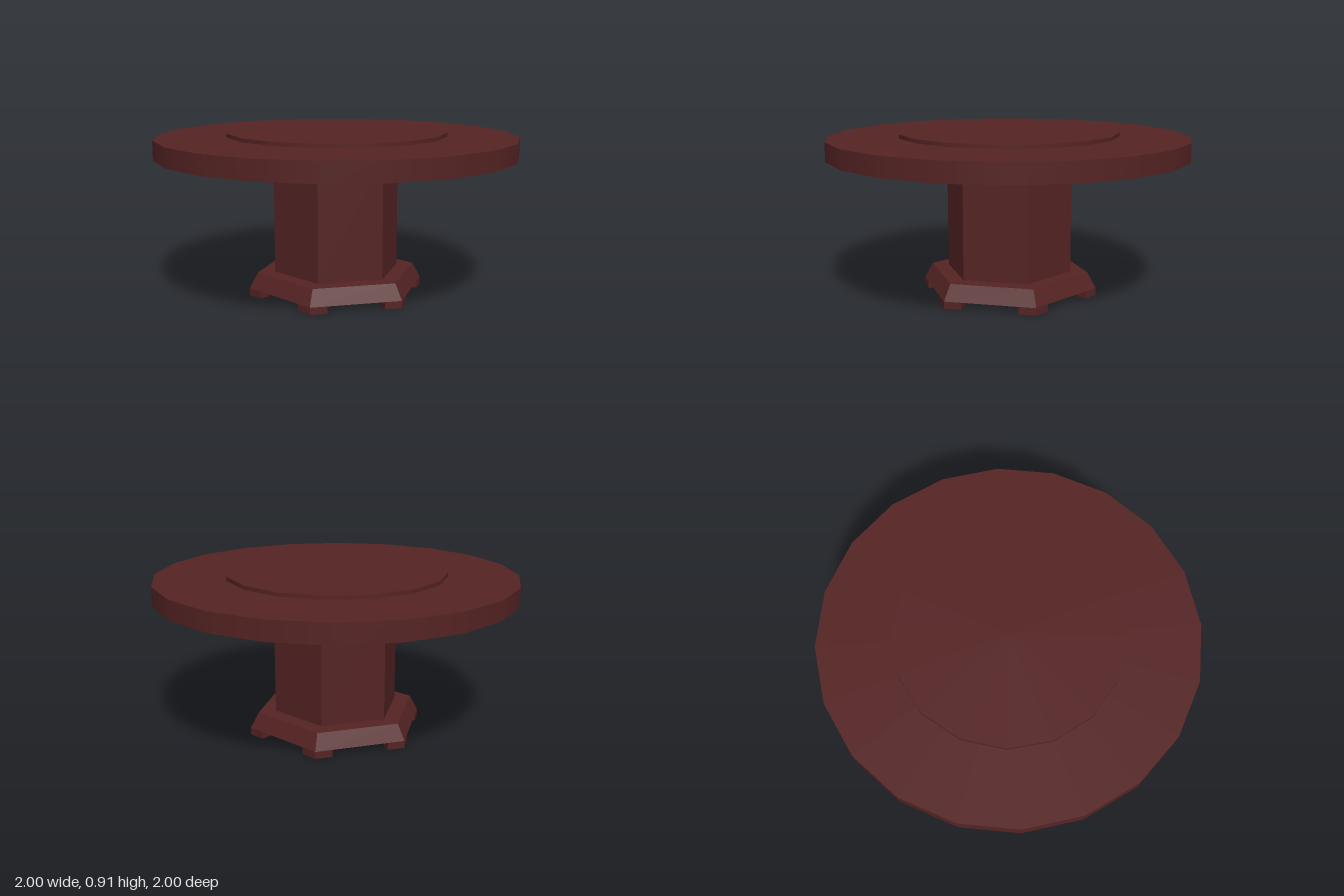
import * as THREE from 'three';

const wood = new THREE.MeshStandardMaterial({ color: 0x552323 });
wood.name = 'dark red wood';

function addMesh(group, name, geometry) {
  const mesh = new THREE.Mesh(geometry, wood);
  mesh.name = name;
  group.add(mesh);
  return mesh;
}

// Upright cylinder or prism between two heights
function drum(rTop, rBottom, y0, y1, sides, thetaStart = 0) {
  return new THREE.CylinderGeometry(rTop, rBottom, y1 - y0, sides, 1, false, thetaStart)
    .translate(0, (y0 + y1) / 2, 0);
}

// Flat-faced hexagonal prism with corners on the x axis
function hexPrism(rTop, rBottom, y0, y1) {
  const g = drum(rTop, rBottom, y0, y1, 6, Math.PI / 2).toNonIndexed();
  g.computeVertexNormals();
  return g;
}

export function createModel() {
  const table = new THREE.Group();
  table.name = 'roundTable';

  // Round top and the turntable hovering just above it
  addMesh(table, 'tableTop', drum(1, 1, 0.775, 0.88, 20));
  addMesh(table, 'turntable', drum(0.608, 0.608, 0.886, 0.907, 16));

  // Hexagonal pedestal on a tapered plinth
  addMesh(table, 'column', hexPrism(0.355, 0.355, 0.125, 0.775));
  addMesh(table, 'plinth', hexPrism(0.452, 0.5, 0.04, 0.127));

  // Chevron foot wrapping each plinth corner
  const half = [[0.5, 0], [0.4525, 0.082], [0.4005, 0.052], [0.431, 0]];
  const outline = [...half, [0.4005, -0.052], [0.4525, -0.082]];
  const footShape = new THREE.Shape(outline.map(([x, y]) => new THREE.Vector2(x, y)));
  const footGeometry = new THREE.ExtrudeGeometry(footShape, { depth: 0.04, bevelEnabled: false })
    .rotateX(-Math.PI / 2);
  const feet = new THREE.Group();
  feet.name = 'feet';
  for (let i = 0; i < 6; i++) {
    addMesh(feet, 'foot', footGeometry).rotation.y = i * Math.PI / 3;
  }
  table.add(feet);

  return table;
}
